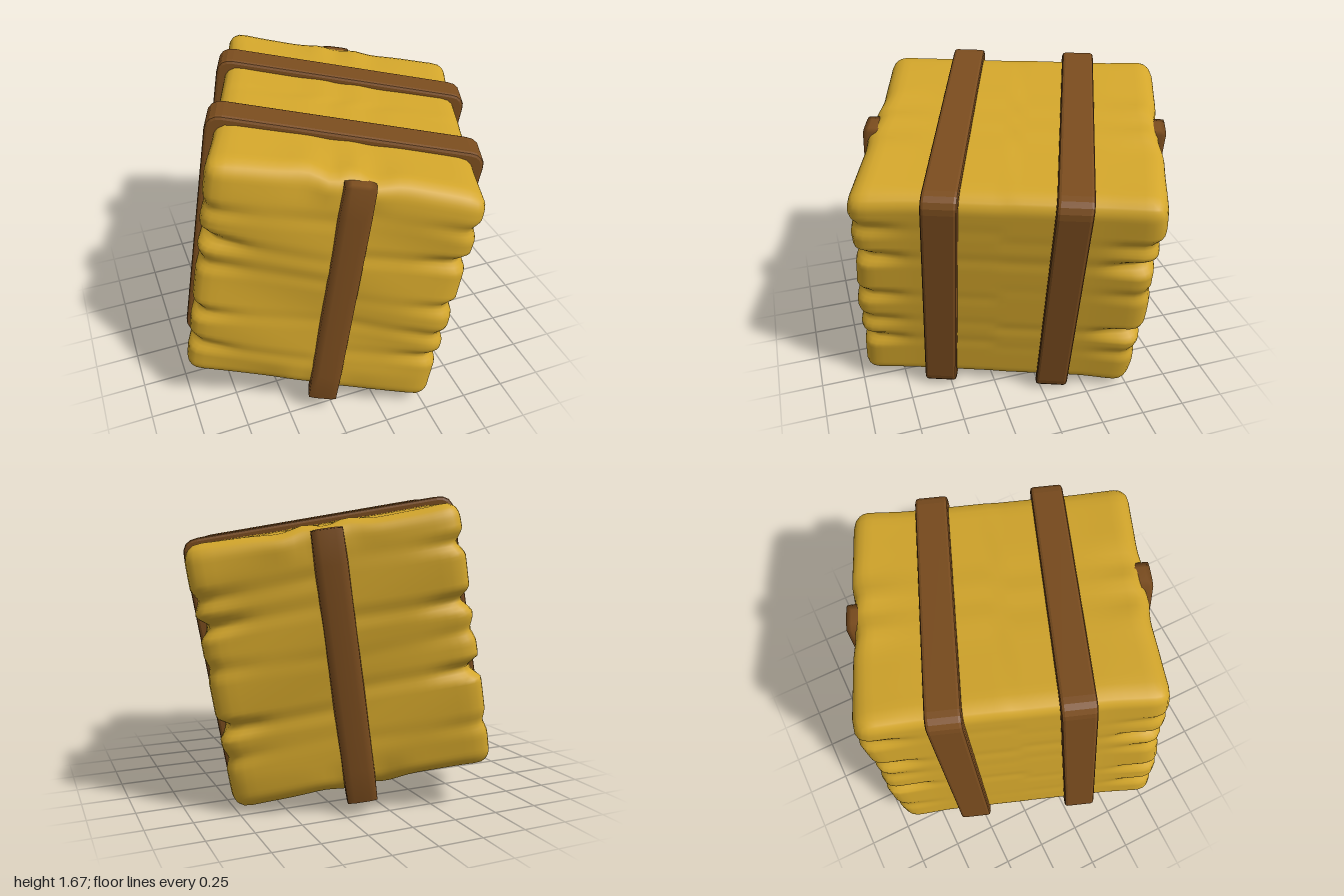
import * as THREE from 'three';
import { mergeVertices } from 'three/addons/utils/BufferGeometryUtils.js';

const straw = new THREE.MeshStandardMaterial({ color: 0xd3a62b });
straw.name = 'straw';
const leather = new THREE.MeshStandardMaterial({ color: 0x7a4c1e });
leather.name = 'brown strap';

// Width, height and length directions of the slumped, slightly skewed bale
const slump = new THREE.Matrix4().makeBasis(
  new THREE.Vector3(0.922, -0.168, 0.35),
  new THREE.Vector3(0.174, 0.985, 0),
  new THREE.Vector3(-0.34, 0.012, 0.94),
);

// Box rounded by pulling its vertices towards an inner core, welded for smooth normals
function roundedBlock(w, h, d, segs, r, rule) {
  let g = new THREE.BoxGeometry(w, h, d, ...segs);
  g.deleteAttribute('uv');
  g.deleteAttribute('normal');
  g = mergeVertices(g);
  const pos = g.attributes.position;
  const core = new THREE.Vector3(w / 2 - r, h / 2 - r, d / 2 - r);
  const p = new THREE.Vector3(), c = new THREE.Vector3();
  for (let i = 0; i < pos.count; i++) {
    p.fromBufferAttribute(pos, i);
    c.copy(p).clamp(core.clone().negate(), core);
    p.sub(c).setLength(r).add(c);
    if (rule) rule(p);
    pos.setXYZ(i, p.x, p.y, p.z);
  }
  g.computeVertexNormals();
  return g;
}

// Narrow creases between layers of straw: 0 on a layer, 1 in a crease
const creases = [
  { at: -0.42, size: 0.7 }, { at: -0.2, size: 1 }, { at: 0.04, size: 0.75 },
  { at: 0.25, size: 1 }, { at: 0.47, size: 0.85 },
];
function crease(y, seed) {
  let sum = 0;
  creases.forEach(({ at, size }, i) => {
    const centre = at + 0.05 * Math.sin(seed * 2.3 + i * 1.9);
    const strength = size * (0.75 + 0.35 * Math.sin(seed * 4.1 + i * 2.7));
    sum += strength * Math.max(0, 1 - Math.abs(y - centre) / 0.06);
  });
  return Math.min(sum, 1);
}

// Layered straw with ragged ends
function shapeStraw(p) {
  const { x, y, z } = p;
  const end = THREE.MathUtils.smoothstep(Math.abs(z), 0.45, 0.75);
  const side = THREE.MathUtils.smoothstep(Math.abs(x), 0.35, 0.68);
  const seed = (x > 0 ? 1 : 0) + (z > 0 ? 2 : 0) + 0.5 * x;
  const cut = crease(y, seed);
  const ripple = Math.sin(x * 17 + Math.sign(z) + Math.sin(x * 7) * 2);
  p.x += Math.sign(x) * side * (end * (0.012 - 0.055 * cut) - 0.005 * cut);
  p.z += Math.sign(z) * end * (0.008 - cut * (0.01 + 0.035 * side) + 0.008 * Math.sin(y * 9 + x * 4));
  const cap = THREE.MathUtils.smoothstep(Math.abs(y), 0.5, 0.7);
  p.y += Math.sign(y) * cap * 0.008 * ripple * (0.4 + end);
  p.z -= Math.sign(z) * end * cap * 0.012 * (1 + ripple);
}

// Rounded rectangle path for a strap loop
function roundedRect(path, w, h, r) {
  const x = w / 2, y = h / 2;
  path.moveTo(-x + r, -y);
  path.lineTo(x - r, -y);
  path.quadraticCurveTo(x, -y, x, -y + r);
  path.lineTo(x, y - r);
  path.quadraticCurveTo(x, y, x - r, y);
  path.lineTo(-x + r, y);
  path.quadraticCurveTo(-x, y, -x, y - r);
  path.lineTo(-x, -y + r);
  path.quadraticCurveTo(-x, -y, -x + r, -y);
  return path;
}

// Strap looped around the bale
function strapLoop() {
  const loop = roundedRect(new THREE.Shape(), 1.438, 1.424, 0.07);
  loop.holes.push(roundedRect(new THREE.Path(), 1.26, 1.28, 0.06));
  const g = new THREE.ExtrudeGeometry(loop, {
    depth: 0.148, bevelEnabled: true, bevelThickness: 0.018, bevelSize: 0.018, bevelSegments: 2, curveSegments: 4,
  });
  return g.translate(0, 0, -0.074);
}

// Short upright strap, leaning a touch less than the bale
function endStrap(length) {
  return roundedBlock(0.17, length, 0.13, [4, 8, 4], 0.018).rotateZ(0.03);
}

export function createModel() {
  const model = new THREE.Group();
  model.name = 'hayBale';
  const add = (name, geometry, material, x = 0, y = 0, z = 0) => {
    const mesh = new THREE.Mesh(geometry.translate(x, y, z).applyMatrix4(slump), material);
    mesh.name = name;
    model.add(mesh);
  };

  add('strawBlock', roundedBlock(1.37, 1.39, 1.58, [28, 72, 40], 0.085, shapeStraw), straw);
  add('frontLoopStrap', strapLoop(), leather, 0, 0, 0.33);
  add('backLoopStrap', strapLoop(), leather, 0, 0, -0.33);
  add('frontEndStrap', endStrap(1.42), leather, 0.075, -0.03, 0.762);
  add('backEndStrap', endStrap(1.44), leather, 0, -0.045, -0.755);

  // Centre on the ground
  const centre = new THREE.Vector3();
  const box = new THREE.Box3().setFromObject(model, true);
  box.getCenter(centre);
  for (const part of model.children) part.position.set(-centre.x, -box.min.y, -centre.z);
  return model;
}
